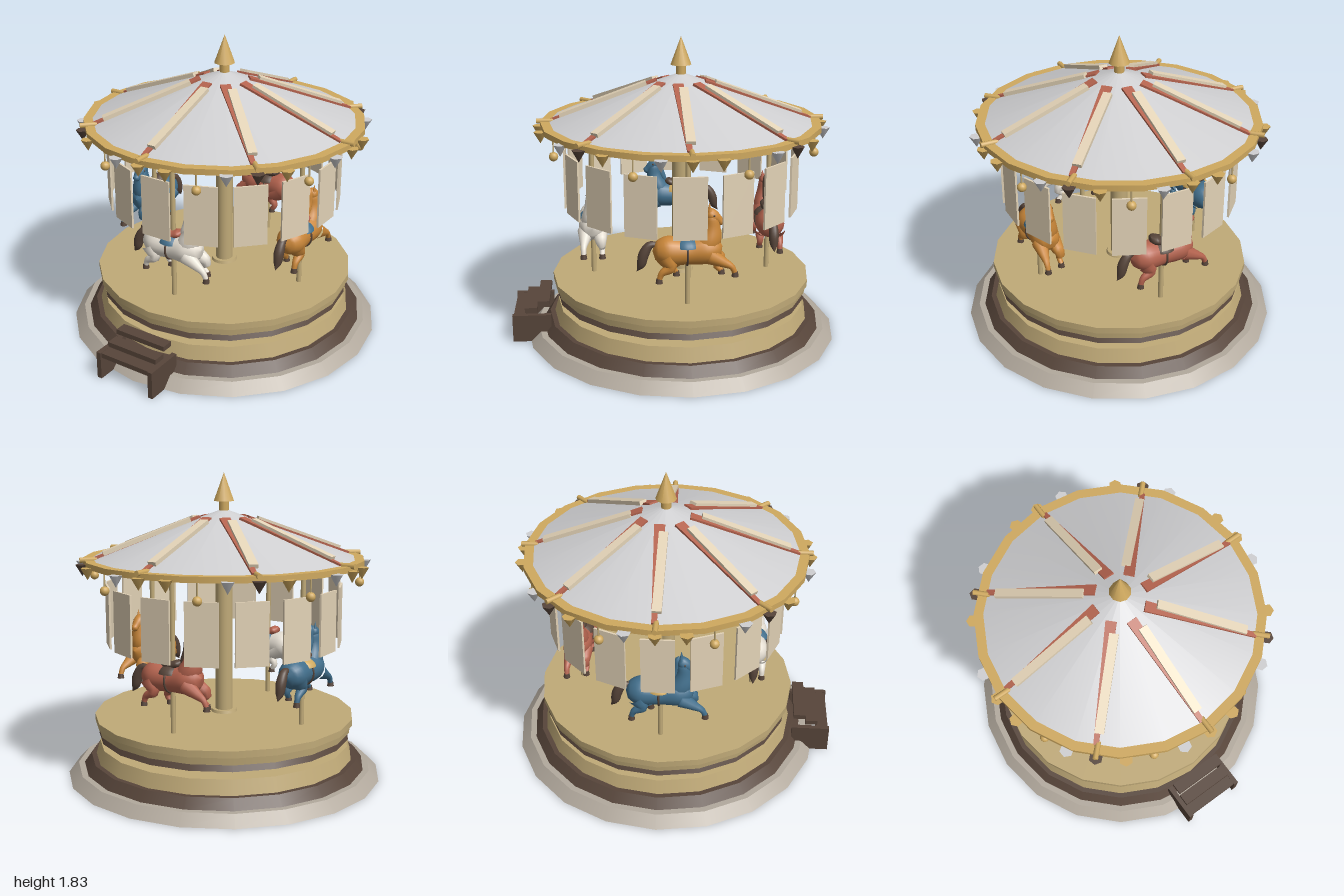
import * as THREE from 'three';
import { mergeVertices } from 'three/addons/utils/BufferGeometryUtils.js';

const mat = (name, color) => Object.assign(new THREE.MeshStandardMaterial({ color }), { name });
const V = (x, y, z = 0) => new THREE.Vector3(x, y, z);

// Tube along knots [x, y, z, radius] with a smoothly changing radius
function taperedTube(knots, segs = 18, sides = 14) {
  const path = new THREE.CatmullRomCurve3(knots.map(k => V(k[0], k[1], k[2])));
  const radii = new THREE.CatmullRomCurve3(knots.map((k, i) => V(k[3], i * 0.1)));
  const geo = new THREE.TubeGeometry(path, segs, 1, sides);
  const pos = geo.attributes.position, v = V(0, 0);
  for (let i = 0; i <= segs; i++) {
    const centre = path.getPointAt(i / segs);
    const r = Math.max(0.0005, radii.getPoint(path.getUtoTmapping(i / segs)).x);
    for (let j = 0; j <= sides; j++) {
      const n = i * (sides + 1) + j;
      v.fromBufferAttribute(pos, n).sub(centre).multiplyScalar(r).add(centre);
      pos.setXYZ(n, v.x, v.y, v.z);
    }
  }
  geo.deleteAttribute('uv');
  geo.deleteAttribute('normal');
  const merged = mergeVertices(geo, 1e-5);
  merged.computeVertexNormals();
  return merged;
}

export function createModel() {
  const stone = mat('stone', 0xb2a99d), brown = mat('darkWood', 0x57453a);
  const tan = mat('tan', 0xc0aa78), cream = mat('cream', 0xe3d3b7);
  const grey = mat('canvasGrey', 0xcfcfd1), white = mat('white', 0xe6dfd3);
  const blue = mat('blue', 0x426f8c), orange = mat('orange', 0xc98638);
  const red = mat('terracotta', 0xb5644f), gold = mat('gold', 0xcfa95f);

  const model = new THREE.Group();
  model.name = 'carousel';
  const ride = new THREE.Group();
  ride.name = 'ride';
  ride.position.z = -0.04;
  model.add(ride);

  const add = (parent, name, geo, material, x = 0, y = 0, z = 0) => {
    const m = new THREE.Mesh(geo, material);
    m.name = name;
    m.position.set(x, y, z);
    parent.add(m);
    return m;
  };
  const drum = (parent, name, material, rBottom, rTop, y0, y1, sides = 20, x = 0, z = 0) =>
    add(parent, name, new THREE.CylinderGeometry(rTop, rBottom, y1 - y0, sides), material, x, (y0 + y1) / 2, z);
  const box = (parent, name, material, w, h, d, x, y, z) =>
    add(parent, name, new THREE.BoxGeometry(w, h, d), material, x, y, z);
  // Group turned about the centre, with its own +z pointing outwards
  const spoke = (name, angle) => {
    const g = new THREE.Group();
    g.name = name;
    g.rotation.y = angle;
    ride.add(g);
    return g;
  };

  // Base and platform
  drum(ride, 'stoneBase', stone, 0.96, 0.9, 0, 0.062);
  drum(ride, 'lowerPlinth', brown, 0.865, 0.82, 0.06, 0.12);
  drum(ride, 'upperPlinth', tan, 0.79, 0.765, 0.12, 0.205);
  drum(ride, 'turntableHub', tan, 0.2, 0.2, 0.2, 0.255);
  drum(ride, 'platformSkirt', brown, 0.77, 0.75, 0.25, 0.29);
  drum(ride, 'platformLowerBand', tan, 0.775, 0.78, 0.29, 0.335);
  drum(ride, 'platformDeck', tan, 0.792, 0.792, 0.335, 0.375);

  // Centre pole
  drum(ride, 'poleFlange', tan, 0.08, 0.075, 0.375, 0.392);
  drum(ride, 'centrePole', tan, 0.052, 0.052, 0.375, 1.305);

  // Roof
  drum(ride, 'roofRim', [gold, gold, tan], 0.84, 0.84, 1.3, 1.334);
  drum(ride, 'roofCone', grey, 0.785, 0.001, 1.334, 1.62);
  drum(ride, 'finialNeck', gold, 0.03, 0.03, 1.61, 1.667, 10);
  drum(ride, 'finial', gold, 0.062, 0.001, 1.665, 1.83, 10);

  // Roof ribs: a tapered strip beside a raised cream batten
  const stripShape = new THREE.Shape([[0.005, 0.15], [-0.058, 0.15], [-0.024, 0.83], [0.005, 0.83]]
    .map(p => new THREE.Vector2(...p)));
  const stripGeo = new THREE.ExtrudeGeometry(stripShape, { depth: 0.022, bevelEnabled: false });
  stripGeo.rotateX(Math.PI / 2);
  for (let i = 0; i < 8; i++) {
    const rib = spoke('roofRib', i * Math.PI / 4);
    const slope = new THREE.Group();
    slope.name = 'ribSlope';
    slope.position.y = 1.62;
    slope.rotation.x = Math.atan2(0.286, 0.785);
    rib.add(slope);
    add(slope, 'ribStrip', stripGeo, red, 0, 0.01, 0);
    box(slope, 'ribBatten', cream, 0.052, 0.024, 0.55, 0, 0.014, 0.49);
    const peg = drum(rib, 'ribPeg', gold, 0.016, 0.016, -0.05, 0.05, 8);
    peg.rotation.x = Math.PI / 2;
    peg.position.set(0, 1.336, 0.81);
  }

  // Hanging panels
  for (let i = 0; i < 16; i++)
    box(spoke('panelMount', i * Math.PI / 8), 'hangingPanel', cream, 0.19, 0.36, 0.012, 0, 0.998, 0.7);

  // Pennants and hanging balls around the rim
  const pennant = (angle, material) =>
    drum(spoke('pennantMount', angle), 'pennant', material, 0.001, 0.04, 1.243, 1.31, 6, 0, 0.845);
  for (let i = 0; i < 16; i++) pennant((i + 0.5) * Math.PI / 8, i % 2 ? grey : gold);
  for (let i = 0; i < 8; i++) {
    pennant(i * Math.PI / 4, i % 2 ? brown : gold);
    const mount = spoke('ballMount', (i + 0.5) * Math.PI / 4);
    drum(mount, 'ballRod', tan, 0.005, 0.005, 1.21, 1.31, 8, 0, 0.81);
    add(mount, 'ball', new THREE.SphereGeometry(0.027, 14, 10), gold, 0, 1.2, 0.81);
  }

  // Horses face their local +x
  const bodyGeo = taperedTube([[-0.2, 0.7, 0, 0], [-0.185, 0.7, 0, 0.05], [-0.12, 0.7, 0, 0.086], [0, 0.695, 0, 0.076],
    [0.11, 0.705, 0, 0.083], [0.18, 0.72, 0, 0.05], [0.197, 0.722, 0, 0]], 26, 18);
  const neckGeo = taperedTube([[0.08, 0.7, 0, 0.07], [0.125, 0.77, 0, 0.066], [0.138, 0.84, 0, 0.047],
    [0.135, 0.905, 0, 0.034], [0.13, 0.94, 0, 0]]);
  const headGeo = taperedTube([[0.1, 0.93, 0, 0], [0.115, 0.922, 0, 0.03], [0.145, 0.9, 0, 0.035],
    [0.18, 0.873, 0, 0.023], [0.195, 0.861, 0, 0.02], [0.203, 0.855, 0, 0]]);
  const tailGeo = taperedTube([[-0.17, 0.74, 0, 0.012], [-0.215, 0.735, 0, 0.023], [-0.25, 0.68, 0, 0.03],
    [-0.265, 0.62, 0, 0.024], [-0.29, 0.58, 0, 0]]);
  const maneGeo = taperedTube([[0.11, 0.955, 0, 0], [0.1, 0.93, 0, 0.016], [0.095, 0.87, 0, 0.02],
    [0.075, 0.81, 0, 0.02], [0.05, 0.765, 0, 0]]);
  // Each leg: hip, knee, fetlock, hoof
  const legs = [
    [[-0.13, 0.68, 0.042, 0.055], [-0.1, 0.62, 0.05, 0.035], [-0.15, 0.585, 0.055, 0.02], [-0.165, 0.545, 0.055, 0.015]],
    [[-0.12, 0.68, -0.042, 0.055], [-0.05, 0.63, -0.05, 0.035], [-0.08, 0.58, -0.055, 0.02], [-0.06, 0.545, -0.055, 0.015]],
    [[0.12, 0.68, 0.042, 0.05], [0.2, 0.64, 0.05, 0.029], [0.245, 0.615, 0.055, 0.018], [0.265, 0.575, 0.055, 0.015]],
    [[0.12, 0.67, -0.042, 0.05], [0.2, 0.625, -0.05, 0.029], [0.165, 0.585, -0.055, 0.018], [0.2, 0.55, -0.055, 0.015]],
  ];
  const horses = [[white, blue, red, white], [orange, blue, red, orange], [red, brown, brown, brown], [blue, gold, brown, blue]];
  horses.forEach(([coat, cloth, seat, mane], i) => {
    const mount = spoke('horseMount', i * Math.PI / 2);
    drum(mount, 'horsePole', tan, 0.015, 0.015, 0.375, 1.305, 12, 0, 0.54);
    const horse = new THREE.Group();
    horse.name = 'horse';
    horse.position.z = 0.54;
    mount.add(horse);
    add(horse, 'body', bodyGeo, coat);
    add(horse, 'neck', neckGeo, coat);
    add(horse, 'head', headGeo, coat);
    add(horse, 'mane', maneGeo, mane);
    add(horse, 'tail', tailGeo, brown);
    for (const s of [-1, 1]) {
      drum(horse, 'ear', coat, 0.011, 0.001, 0.93, 0.972, 8, 0.122, s * 0.018);
      add(horse, 'eye', new THREE.SphereGeometry(0.006, 8, 6), brown, 0.145, 0.912, s * 0.032);
    }
    for (const leg of legs) {
      add(horse, 'leg', taperedTube(leg, 14, 10), coat);
      const [x, y, z] = leg[3];
      drum(horse, 'hoof', brown, 0.021, 0.016, y - 0.018, y + 0.01, 10, x, z);
    }
    // Saddle cloth, seat with raised ends, girth strap
    add(horse, 'saddleCloth', new THREE.SphereGeometry(1, 20, 8, 0, Math.PI * 2, 0, Math.PI * 0.42), cloth, -0.005, 0.715)
      .scale.set(0.085, 0.068, 0.088);
    add(horse, 'saddleSeat', taperedTube([[-0.075, 0.815, 0, 0], [-0.06, 0.8, 0, 0.026], [0, 0.777, 0, 0.026],
      [0.05, 0.795, 0, 0.022], [0.062, 0.812, 0, 0]]), seat).scale.z = 1.7;
    add(horse, 'girthStrap', new THREE.TorusGeometry(0.079, 0.006, 8, 28), brown, -0.005, 0.695)
      .rotation.y = Math.PI / 2;
  });

  // Entrance steps
  const steps = new THREE.Group();
  steps.name = 'steps';
  model.add(steps);
  for (const s of [-1, 1]) box(steps, 'stepSide', brown, 0.03, 0.17, 0.235, s * 0.183, 0.085, 0.8825);
  box(steps, 'lowerTread', brown, 0.36, 0.03, 0.075, 0, 0.153, 0.955);
  box(steps, 'middleTread', brown, 0.34, 0.03, 0.075, 0, 0.192, 0.888);
  box(steps, 'upperTread', brown, 0.34, 0.03, 0.072, 0, 0.235, 0.81);

  return model;
}
